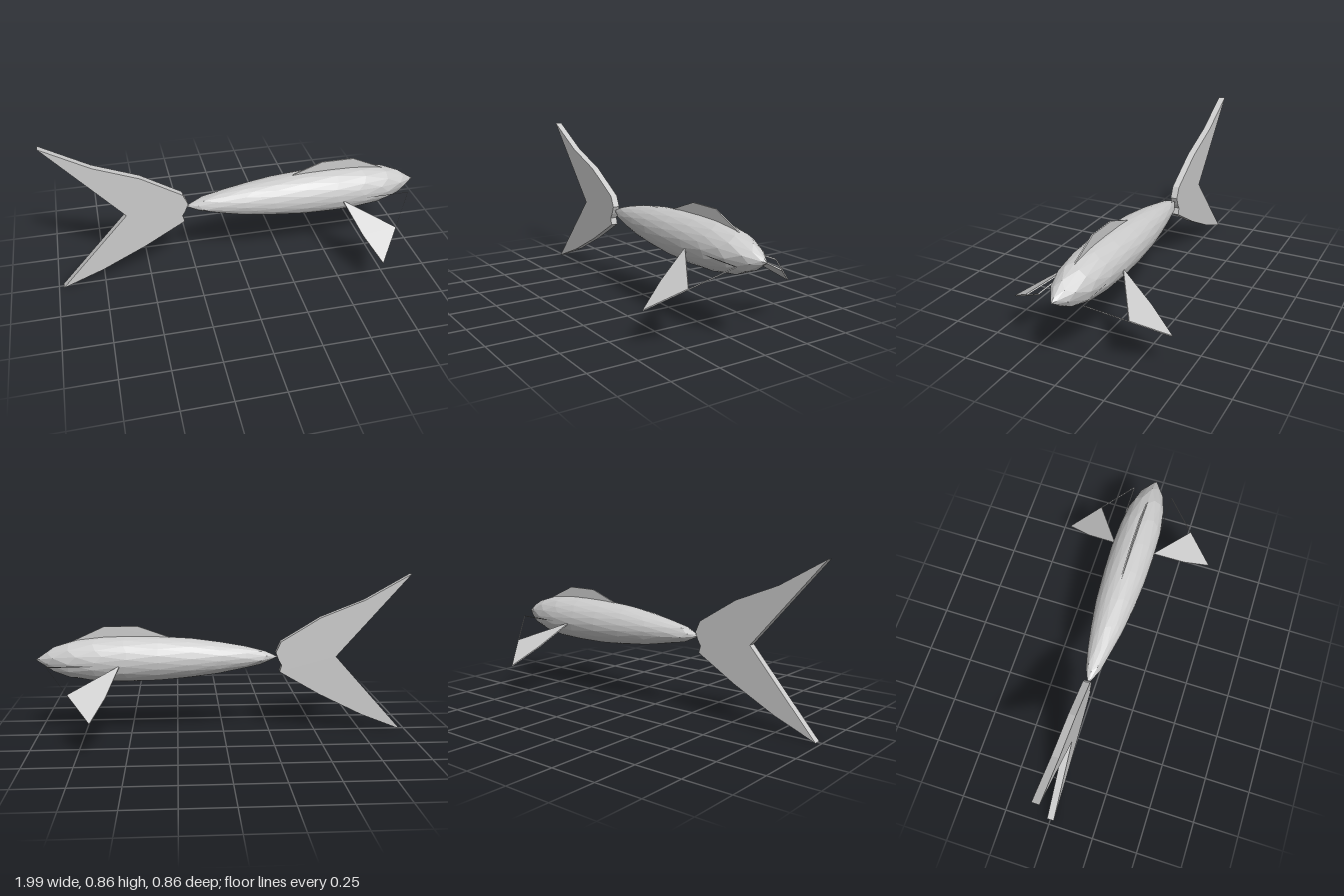
import * as THREE from 'three';

const material = new THREE.MeshStandardMaterial({ color: 0xcccccc, flatShading: true, side: THREE.DoubleSide });
const AXIS_Y = 0.416;

function named(geometry, name) {
  const mesh = new THREE.Mesh(geometry, material);
  mesh.name = name;
  return mesh;
}

// Flat outline given thickness, centred on z = 0
function slab(points, depth) {
  const shape = new THREE.Shape(points.map(([x, y]) => new THREE.Vector2(x, y)));
  return new THREE.ExtrudeGeometry(shape, { depth, bevelEnabled: false }).translate(0, 0, -depth / 2);
}

// Narrow open wall that follows a polyline
function wall(points, depth) {
  const n = points.length;
  const geometry = new THREE.PlaneGeometry(1, 1, n - 1, 1);
  points.forEach(([x, y], i) => {
    geometry.attributes.position.setXYZ(i, x, y, depth / 2);
    geometry.attributes.position.setXYZ(i + n, x, y, -depth / 2);
  });
  geometry.computeVertexNormals();
  return geometry;
}

// Body radius along x
const PROFILE = [
  [-0.295, 0], [-0.2, 0.042], [0, 0.082], [0.2, 0.108], [0.4, 0.121], [0.55, 0.122],
  [0.7, 0.115], [0.8, 0.1], [0.9, 0.066], [0.993, 0],
];

function bodyRadius(x) {
  for (let i = 1; i < PROFILE.length; i++) {
    const [x0, r0] = PROFILE[i - 1];
    const [x1, r1] = PROFILE[i];
    if (x <= x1) return THREE.MathUtils.mapLinear(x, x0, x1, r0, r1);
  }
  return 0;
}

// Faceted sphere with its poles on x, stretched to the body profile
function bodyGeometry() {
  const geometry = new THREE.IcosahedronGeometry(1, 3);
  geometry.rotateZ(-Math.atan((1 + Math.sqrt(5)) / 2));
  const p = geometry.attributes.position;
  for (let i = 0; i < p.count; i++) {
    const y = p.getY(i), z = p.getZ(i);
    const x = 0.349 + 0.644 * THREE.MathUtils.clamp(p.getX(i), -1, 1);
    const scale = Math.max(bodyRadius(x), 0) / Math.max(Math.hypot(y, z), 1e-4);
    p.setXYZ(i, x, AXIS_Y + y * scale, z * scale);
  }
  geometry.computeVertexNormals();
  return geometry;
}

export function createModel() {
  const model = new THREE.Group();
  model.name = 'fish';
  model.add(named(bodyGeometry(), 'body'));

  // Forked tail
  model.add(named(slab([
    [-0.998, 0.857], [-0.755, 0.72], [-0.52, 0.628], [-0.307, 0.499], [-0.28, 0.44], [-0.296, 0.398],
    [-0.312, 0.371], [-0.302, 0.334], [-0.52, 0.206], [-0.755, 0.088], [-0.975, 0], [-0.606, 0.415],
  ], 0.038), 'tailFin'));

  // Fin along the back
  model.add(named(slab([
    [0.25, 0.505], [0.27, 0.523], [0.455, 0.59], [0.63, 0.59], [0.8, 0.513], [0.79, 0.505],
  ], 0.007), 'dorsalFin'));

  // Sloping side fins: a filled blade, plus an open rim towards the head
  for (const side of [1, -1]) {
    const fin = new THREE.Group();
    fin.name = side > 0 ? 'rightPectoralFin' : 'leftPectoralFin';
    fin.add(named(slab([[0.547, 0], [0.606, 0.211], [0.675, 0.379], [0.798, 0.192]], 0.007), 'finBlade'));
    fin.add(named(wall([[0.547, 0], [0.923, 0], [0.798, 0.192]], 0.007), 'finRim'));
    fin.position.set(0, 0.4, 0.112 * side);
    fin.rotation.x = 2.159 * side;
    model.add(fin);
  }
  return model;
}
